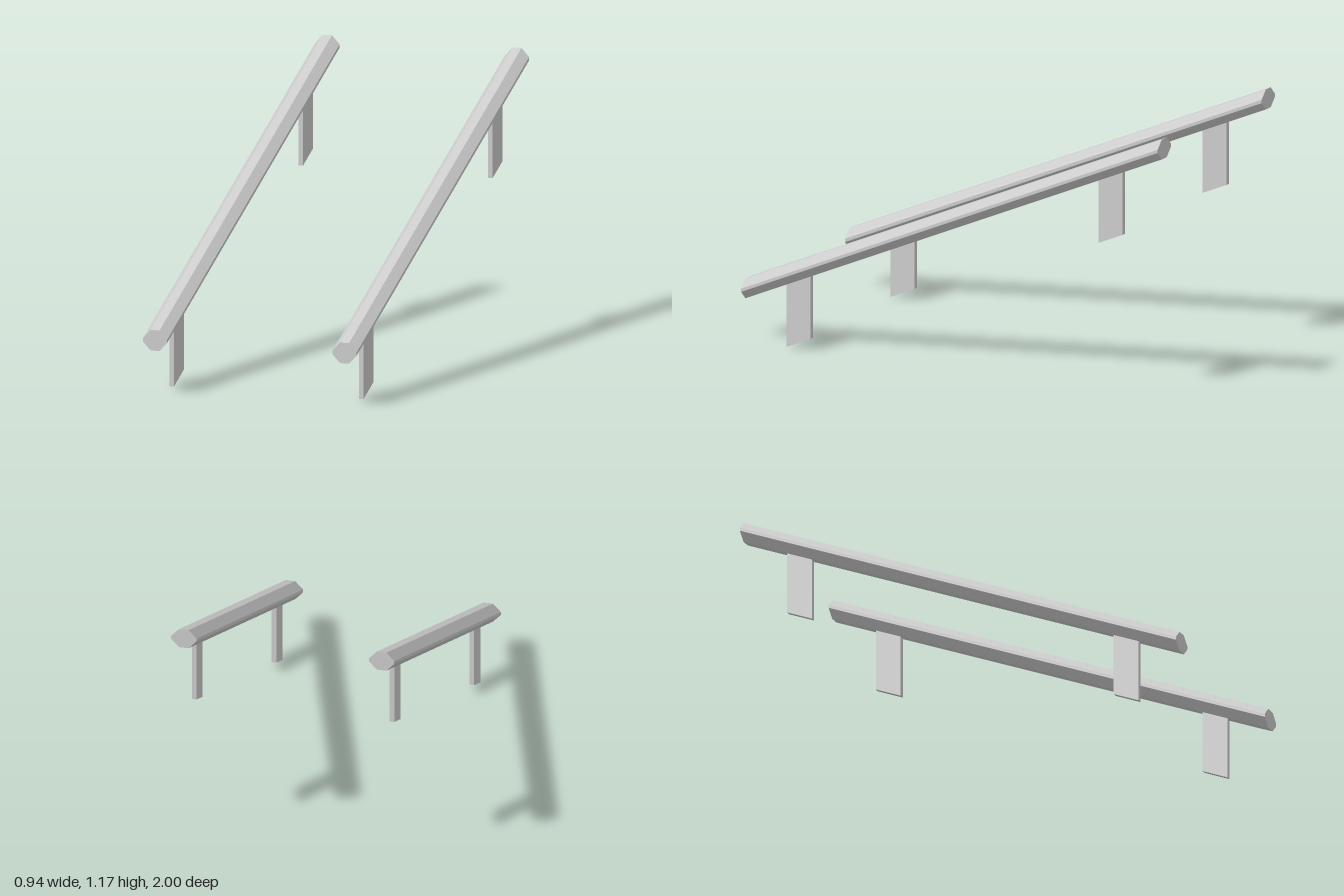
import * as THREE from 'three';

const SLOPE = 0.452;   // rise per unit of depth, towards the back
const RAIL_Y = 0.677;  // rail centre height at mid-length
const RAIL_X = 0.418;

export function createModel() {
  const group = new THREE.Group();
  const material = new THREE.MeshStandardMaterial({ color: 0xcccccc, flatShading: true });

  // Everything is built level, then sheared so that ends and posts stay upright
  const shear = new THREE.Matrix4().set(
    1, 0, 0, 0,
    0, 1, -SLOPE, 0,
    0, 0, 1, 0,
    0, 0, 0, 1);

  // Eight-sided rail section with narrow vertical sides
  const section = new THREE.Shape([
    [0.02, -0.043], [0.0535, -0.007], [0.0535, 0.007], [0.02, 0.043],
    [-0.02, 0.043], [-0.0535, 0.007], [-0.0535, -0.007], [-0.02, -0.043],
  ].map(([x, y]) => new THREE.Vector2(x, y)));
  const railGeometry = new THREE.ExtrudeGeometry(section, { depth: 2, bevelEnabled: false })
    .translate(0, RAIL_Y, -1)
    .applyMatrix4(shear);

  // Thin flat post, from its foot to the underside of the rail
  const foot = 0.365, postTop = RAIL_Y - 0.043;
  const postGeometry = (z) => new THREE.BoxGeometry(0.02, postTop - foot, 0.114)
    .translate(0, (postTop + foot) / 2, z)
    .applyMatrix4(shear);

  for (const side of [1, -1]) {
    const handrail = new THREE.Group();
    handrail.name = side > 0 ? 'leftHandrail' : 'rightHandrail';
    handrail.position.x = side * RAIL_X;

    const rail = new THREE.Mesh(railGeometry, material);
    rail.name = 'rail';
    handrail.add(rail);

    for (const [name, z] of [['frontPost', 0.75], ['backPost', -0.748]]) {
      const post = new THREE.Mesh(postGeometry(z), material);
      post.name = name;
      handrail.add(post);
    }
    group.add(handrail);
  }
  return group;
}
